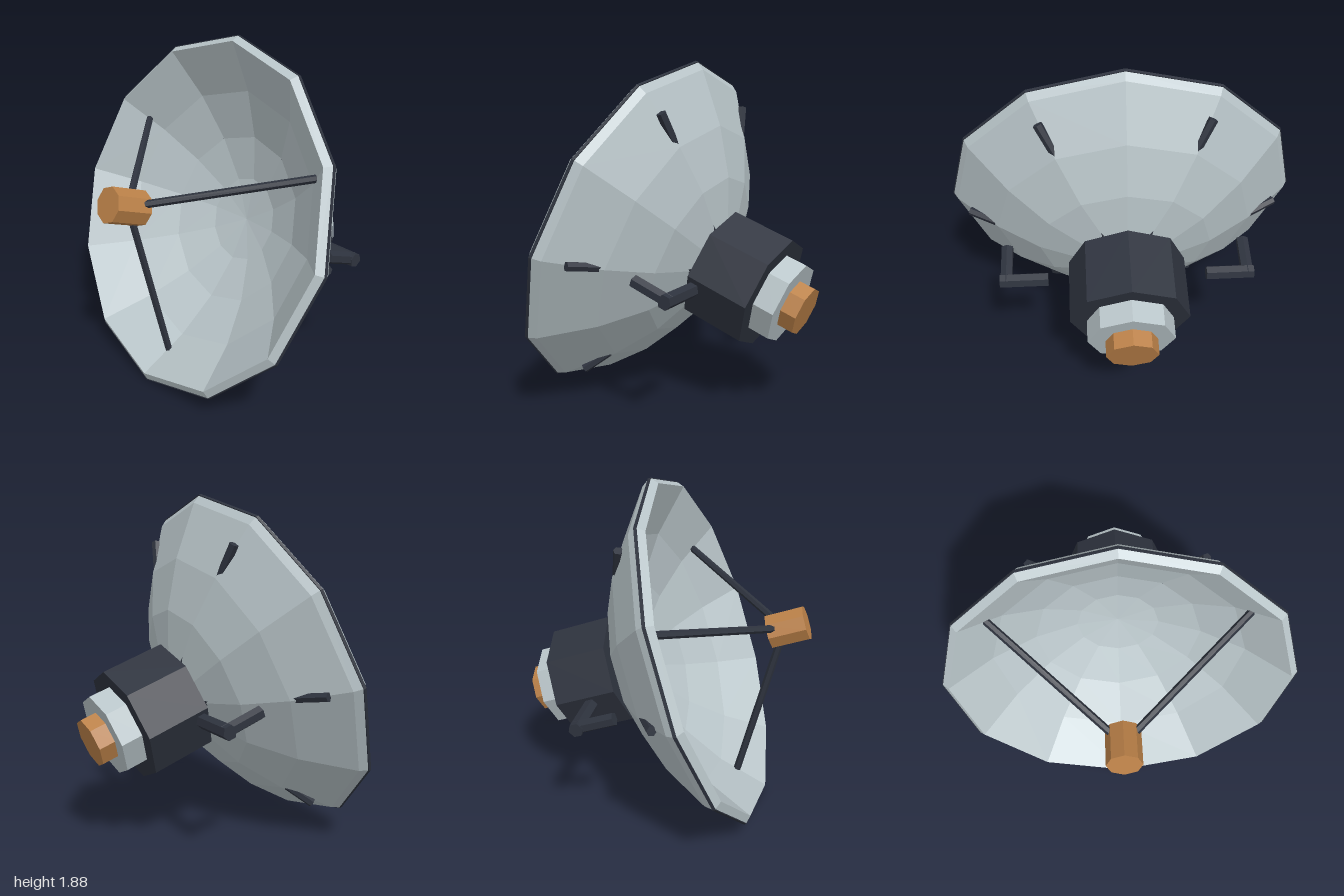
import * as THREE from 'three';

export function createModel() {
  const mat = (name, color) => {
    const m = new THREE.MeshStandardMaterial({ color, flatShading: true });
    m.name = name;
    return m;
  };
  const pale = mat('pale grey', 0xb9c5c9);
  const dark = mat('dark slate', 0x2e333e);
  const copper = mat('copper', 0xbb8148);

  const model = new THREE.Group();
  model.name = 'dishAntenna';

  // everything is built along local +z, the dish axis, then tilted upward
  const head = new THREE.Group();
  head.name = 'tiltedHead';
  head.position.set(0, 0.94, 0.25);
  head.rotation.x = THREE.MathUtils.degToRad(-20);
  model.add(head);

  const add = (name, geo, material) => {
    const mesh = new THREE.Mesh(geo, material);
    mesh.name = name;
    head.add(mesh);
    return mesh;
  };
  const lathe = (pts, sides) =>
    new THREE.LatheGeometry(pts.map(([r, z]) => new THREE.Vector2(r, z)), sides).rotateX(Math.PI / 2);
  // drum along the axis between two depths
  const drum = (name, r, z0, z1, material) =>
    add(name, new THREE.CylinderGeometry(r, r, z1 - z0, 8).rotateX(Math.PI / 2), material)
      .position.z = (z0 + z1) / 2;
  // straight rod between two points
  const rod = (name, a, b, r, sides = 6) => {
    const dir = b.clone().sub(a);
    const mesh = add(name, new THREE.CylinderGeometry(r, r, dir.length(), sides), dark);
    mesh.position.copy(a).add(b).multiplyScalar(0.5);
    mesh.quaternion.setFromUnitVectors(new THREE.Vector3(0, 1, 0), dir.normalize());
  };
  // point at a radius and depth, angle measured from the top
  const polar = (deg, r, z) => {
    const a = THREE.MathUtils.degToRad(deg);
    return new THREE.Vector3(Math.sin(a) * r, Math.cos(a) * r, z);
  };

  // parabolic shell, back and inside
  const rings = [0, 0.2425, 0.485, 0.7275];
  const bowl = (r, base) => [r, base + 0.5 * r * r];
  const back = [...rings, 0.97].map((r) => bowl(r, -0.52));
  const inside = [...rings, 0.96].map((r) => bowl(r, -0.435)).reverse();
  add('dishBack', lathe([...back, [0.995, -0.008]], 12), pale);
  add('dishInside', lathe([[0.995, 0.008], [0.96, 0.038], ...inside.slice(1)], 12), pale);
  add('rimBand', lathe([[0.99, -0.008], [1, -0.008], [1, 0.008], [0.99, 0.008]], 12), dark);

  // ribs running through the shell
  for (let i = 0; i < 6; i++) {
    const deg = 30 + i * 60;
    rod('rib', polar(deg, 0.16, -0.51), polar(deg, 0.89, -0.14), 0.026);
  }

  // feed horn on three struts
  drum('feedHorn', 0.097, 0.355, 0.565, copper);
  for (const deg of [60, 180, 300]) {
    rod('feedStrut', polar(deg, 0.03, 0.42), polar(deg, 0.82, -0.1), 0.021);
  }

  // stepped housing behind the dish
  drum('housing', 0.325, -0.87, -0.51, dark);
  drum('housingStep', 0.235, -0.99, -0.86, pale);
  drum('housingCap', 0.14, -1.08, -0.98, copper);

  // elbow handles on both sides
  for (const s of [-1, 1]) {
    const v = (x, z) => new THREE.Vector3(s * x, 0, z);
    rod('handleCrossbar', v(0.44, -0.61), v(0.705, -0.61), 0.04);
    rod('handleGrip', v(0.67, -0.63), v(0.67, -0.4), 0.036);
  }

  return model;
}
